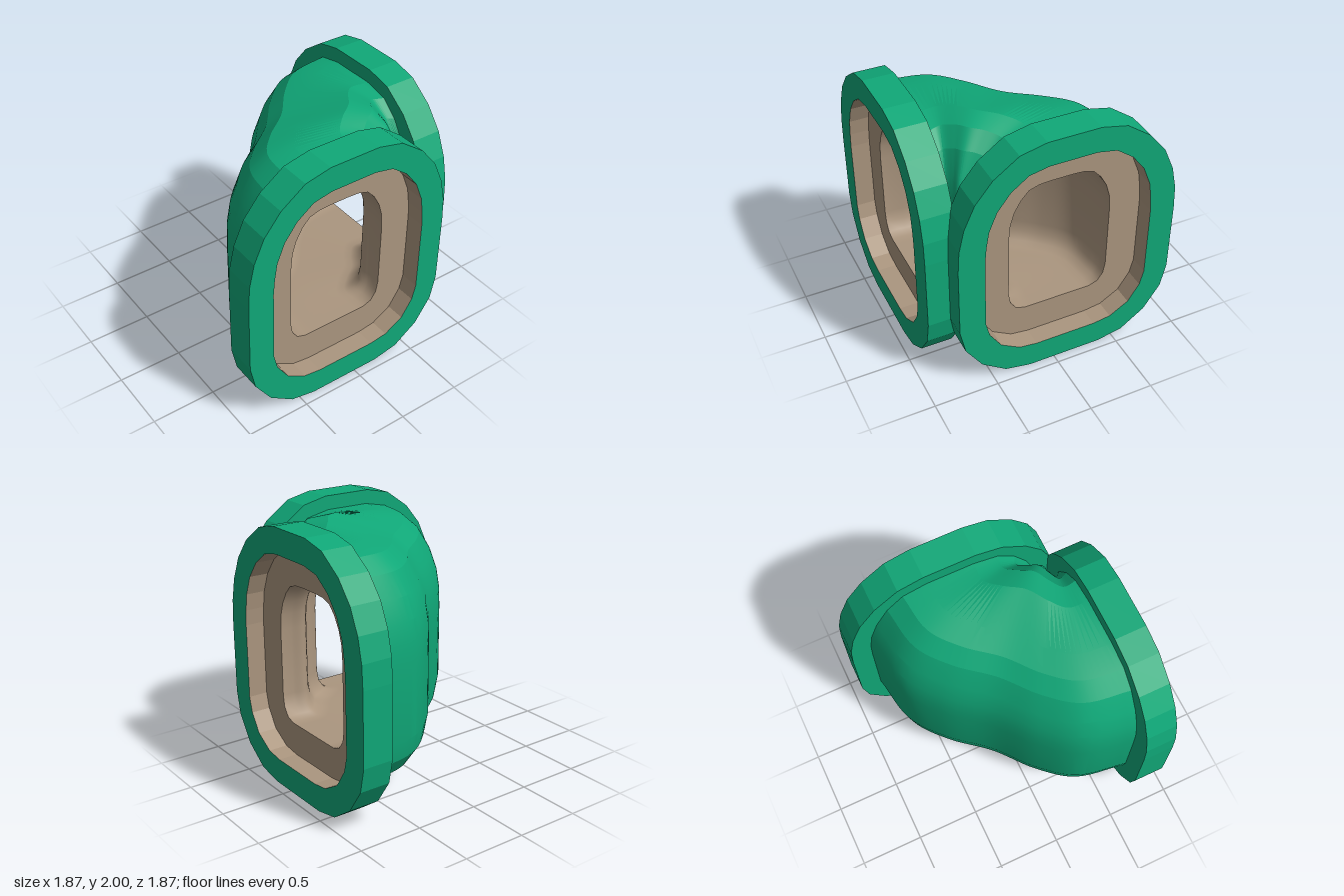
import * as THREE from 'three';
import { toCreasedNormals } from 'three/addons/utils/BufferGeometryUtils.js';

// Half outlines as [half width, height], from the top down (12 points each)
const FLANGE = [[.2, 2], [.4, 1.955], [.59, 1.82], [.72, 1.66], [.8, 1.48], [.84, 1.3],
  [.85, 1.12], [.85, .56], [.81, .37], [.68, .175], [.49, .04], [.29, 0]];
const RECESS = [[.18, 1.805], [.33, 1.775], [.46, 1.68], [.56, 1.55], [.62, 1.4], [.64, 1.27],
  [.65, 1.15], [.65, .57], [.62, .45], [.53, .31], [.38, .22], [.24, .2]];
const SHELL = [[.18, 1.89], [.37, 1.85], [.5, 1.74], [.6, 1.58], [.66, 1.42], [.685, 1.27],
  [.69, 1.12], [.69, .55], [.66, .4], [.56, .26], [.41, .175], [.24, .155]];
const HOLE = [[.08, 1.555], [.17, 1.55], [.25, 1.525], [.31, 1.46], [.36, 1.37], [.39, 1.27],
  [.4, 1.15], [.4, .63], [.385, .54], [.34, .475], [.27, .45], [.2, .45]];

const fullLoop = half => [...half, ...half.map(([u, y]) => [-u, y]).reverse()];
const flatRing = (half, z) => fullLoop(half).map(([u, y]) => new THREE.Vector3(u, y, z));

// Skin between successive closed rings
function loft(rings, crease) {
  const pos = [];
  const push = (...pts) => pts.forEach(p => pos.push(p.x, p.y, p.z));
  for (let i = 0; i < rings.length - 1; i++) {
    const n = rings[i].length;
    for (let j = 0; j < n; j++) {
      const k = (j + 1) % n;
      const a = rings[i][j], b = rings[i][k], c = rings[i + 1][k], d = rings[i + 1][j];
      push(a, b, c, a, c, d);
    }
  }
  const g = new THREE.BufferGeometry();
  g.setAttribute('position', new THREE.Float32BufferAttribute(pos, 3));
  return toCreasedNormals(g, crease);
}

// Plan curve given from the front opening to the bend, mirrored on to the side opening
function bendCurve(points) {
  const mirrored = points.slice(0, -1).reverse().map(([x, z]) => [z, x]);
  return new THREE.CatmullRomCurve3([...points, ...mirrored].map(([x, z]) => new THREE.Vector3(x, 0, z)));
}
const outerEdge = bendCurve([[-.78, .69], [-.7, .3], [-.5, .04], [-.21, -.21]]);
const innerEdge = bendCurve([[.6, .69], [.56, .67], [.6, .65], [.64, .64]]);

// Cross-section of the elbow at s = 0..1, rising slightly toward the inside of the bend
function elbowRing(half, s) {
  const o = outerEdge.getPoint(s), i = innerEdge.getPoint(s);
  const bulge = Math.sin(Math.PI * s) ** 2;
  return fullLoop(half).map(([u, y]) => {
    const r = u / .69;
    const p = o.clone().lerp(i, (r + 1) / 2);
    const lift = .015 + .17 * THREE.MathUtils.clamp(r, -.3, .3);
    p.y = y + bulge * lift * (y - .155) / 1.735;
    return p;
  });
}

export function createModel() {
  const model = new THREE.Group();
  const green = new THREE.MeshStandardMaterial({ color: 0x10a878, side: THREE.DoubleSide });
  green.name = 'green';
  const beige = new THREE.MeshStandardMaterial({ color: 0xab967f, side: THREE.DoubleSide });
  beige.name = 'beige';
  const add = (parent, name, geometry, material) => {
    const mesh = new THREE.Mesh(geometry, material);
    mesh.name = name;
    parent.add(mesh);
  };

  // Bent outer shell and the hollow duct inside it
  const steps = 36;
  const sweep = half => Array.from({ length: steps + 1 }, (_, i) => elbowRing(half, i / steps));
  add(model, 'elbowShell', loft(sweep(SHELL), .22), green);
  const duct = sweep(HOLE);
  duct.unshift(duct[0].map(p => p.clone().setZ(.78)));
  duct.push(duct[steps + 1].map(p => p.clone().setX(.78)));
  add(model, 'innerDuct', loft(duct.reverse(), .9), beige);

  // Faceted collars with a recessed lip at both openings
  const collar = loft([flatRing(RECESS, .93), flatRing(FLANGE, .93),
    flatRing(FLANGE, .69), flatRing(RECESS, .69)], .01);
  const lip = loft([flatRing(HOLE, .78), flatRing(RECESS, .78), flatRing(RECESS, .93)], .01);
  [['front', 0], ['side', Math.PI / 2]].forEach(([name, turn]) => {
    const end = new THREE.Group();
    end.name = name + 'Opening';
    add(end, name + 'Collar', collar, green);
    add(end, name + 'RecessedLip', lip, beige);
    end.rotation.y = turn;
    end.position.set(turn ? 0 : -.09, 0, turn ? -.09 : 0);
    model.add(end);
  });
  return model;
}
